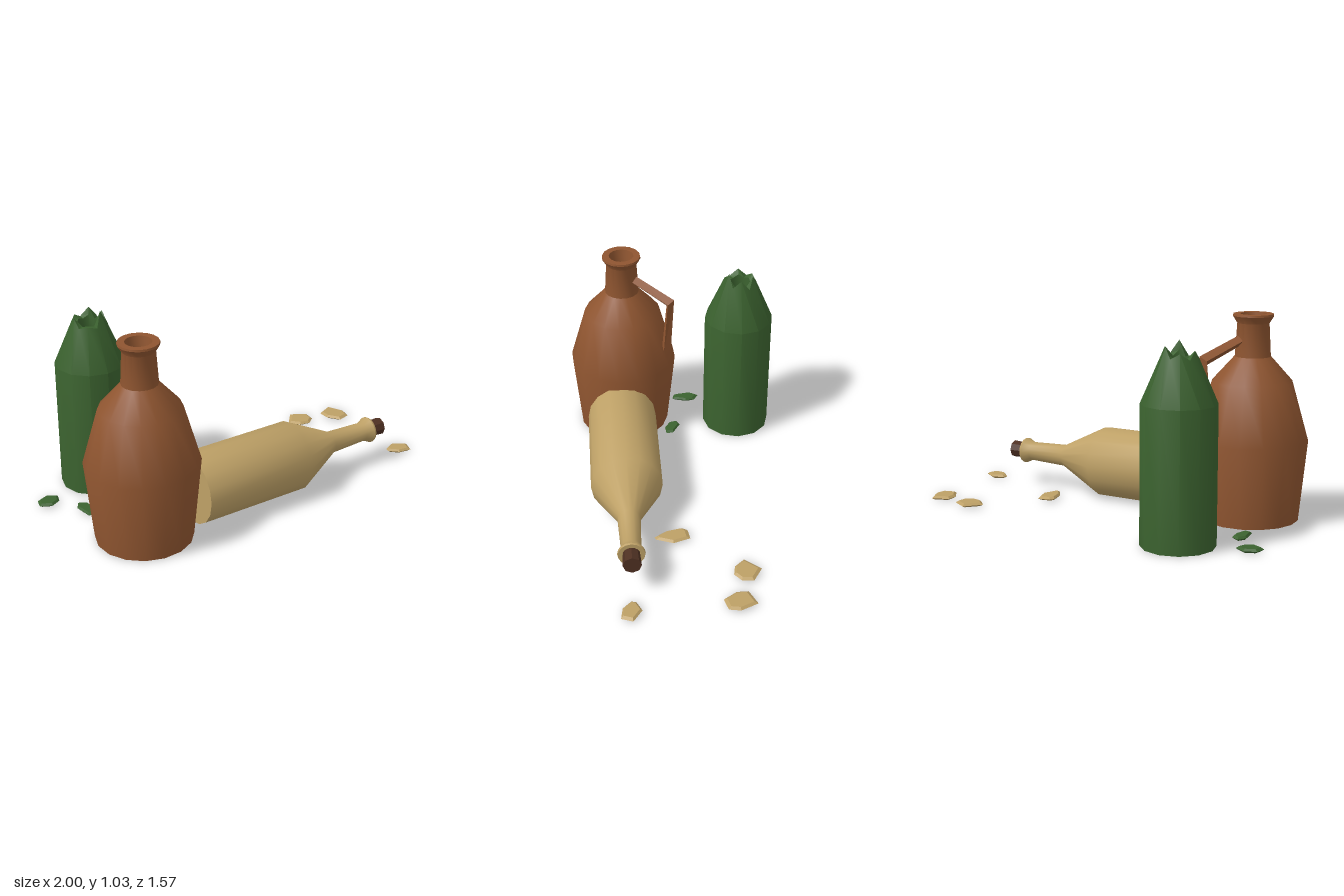
import * as THREE from 'three';
import { toCreasedNormals } from 'three/addons/utils/BufferGeometryUtils.js';
import { ConvexGeometry } from 'three/addons/geometries/ConvexGeometry.js';

const paint = (name, color) => {
  const m = new THREE.MeshStandardMaterial({ color });
  m.name = name;
  return m;
};

// Turned shape from [radius, height] pairs, ordered bottom to top on the outside
const turned = (profile, sides) =>
  new THREE.LatheGeometry(profile.map(([r, y]) => new THREE.Vector2(r, y)), sides);

// Diamond-section bar through three [z, y] points, mitred at the elbow
function barGeometry(path, offsets, halfWidth) {
  const rings = path.map(([z, y], i) => {
    const [dz, dy] = offsets[i];
    return [[0, y + dy, z + dz], [halfWidth, y, z], [0, y - dy, z - dz], [-halfWidth, y, z]];
  });
  const pos = [];
  const quad = (a, b, c, d) => pos.push(...a, ...b, ...c, ...a, ...c, ...d);
  for (let i = 0; i < rings.length - 1; i++) {
    for (let k = 0; k < 4; k++) {
      const n = (k + 1) % 4;
      quad(rings[i][k], rings[i][n], rings[i + 1][n], rings[i + 1][k]);
    }
  }
  quad(...[...rings[0]].reverse());
  quad(...rings[rings.length - 1]);
  const g = new THREE.BufferGeometry();
  g.setAttribute('position', new THREE.Float32BufferAttribute(pos, 3));
  g.computeVertexNormals();
  return g;
}

// Thin glass or clay chip: full outline in the middle, smaller above and below
function shardGeometry(outline) {
  const cx = outline.reduce((s, p) => s + p[0], 0) / outline.length;
  const cz = outline.reduce((s, p) => s + p[1], 0) / outline.length;
  const points = [];
  for (const [y, s] of [[0.005, 0.75], [0.015, 1], [0.025, 0.78]]) {
    for (const [x, z] of outline) {
      points.push(new THREE.Vector3(cx + (x - cx) * s, y, cz + (z - cz) * s));
    }
  }
  return new ConvexGeometry(points);
}

export function createModel() {
  const model = new THREE.Group();
  const clay = paint('brown clay', 0x8f5530);
  const tan = paint('tan', 0xbda066);
  const green = paint('green glass', 0x3b622f);
  const corkBrown = paint('dark cork', 0x4e3022);
  const group = (name, x, y, z) => {
    const g = new THREE.Group();
    g.name = name;
    g.position.set(x, y, z);
    model.add(g);
    return g;
  };
  const add = (parent, name, geometry, material) => {
    const mesh = new THREE.Mesh(geometry, material);
    mesh.name = name;
    parent.add(mesh);
    return mesh;
  };

  // Clay jug with a hollow mouth and an angular handle at the back
  const jug = group('jug', -0.46, 0, 0.5);
  add(jug, 'jugBody', toCreasedNormals(turned([
    [0, 0.005], [0.243, 0.005], [0.284, 0.415], [0.202, 0.7], [0.09, 0.825], [0.08, 0.99],
    [0.102, 1.025], [0.1, 1.035], [0.065, 1.035], [0.052, 0.95], [0, 0.95],
  ], 16), 0.62), clay);
  add(jug, 'jugHandle', barGeometry(
    [[-0.08, 0.907], [-0.288, 0.823], [-0.265, 0.53]],
    [[-0.009, 0.024], [-0.022, 0.022], [-0.026, -0.002]], 0.03), clay);

  // Standing green bottle, its neck snapped off into jagged points
  const broken = group('brokenBottle', -0.707, 0, -0.075);
  const profile = [
    [0, 0.005], [0.181, 0.005], [0.181, 0.68], [0.09, 0.89], [0.058, 0.89], [0.055, 0.83], [0, 0.83],
  ];
  const sides = 12;
  const jags = [0.01, 0, 0.075, 0.01, 0.05, 0, 0.055, 0.005, 0.03, 0, 0.04, 0];
  const glass = turned(profile, sides);
  const p = glass.attributes.position;
  for (let i = 0; i <= sides; i++) {
    const rise = jags[i % sides];
    const outer = i * profile.length + 3;
    p.setY(outer, p.getY(outer) + rise);
    p.setX(outer, p.getX(outer) * (1 - rise * 3));
    p.setZ(outer, p.getZ(outer) * (1 - rise * 3));
    p.setY(outer + 1, p.getY(outer + 1) + rise * 0.4);
  }
  add(broken, 'brokenBottleBody', toCreasedNormals(glass, 0.6), green);

  // Tan bottle lying on its side, stopped with a cork
  const lying = group('lyingBottle', -0.225, 0.186, 0.389);
  lying.rotation.set(0, Math.PI / 6, -Math.PI / 2);
  add(lying, 'lyingBottleBody', toCreasedNormals(turned([
    [0, 0], [0.183, 0], [0.183, 0.608], [0.058, 0.86], [0.05, 1.075], [0.069, 1.115],
    [0.066, 1.125], [0.045, 1.125], [0.04, 1.1], [0, 1.1],
  ], 16), 0.62), tan);
  const cork = add(lying, 'cork',
    new THREE.CylinderGeometry(0.046, 0.04, 0.11, 8).toNonIndexed(), corkBrown);
  cork.geometry.computeVertexNormals();
  cork.position.y = 1.145;

  // Scattered shards as [x, z] outlines
  const tanShards = [
    [[0.39, -0.705], [0.485, -0.705], [0.51, -0.65], [0.49, -0.6], [0.435, -0.58], [0.37, -0.6]],
    [[0.62, -0.785], [0.7, -0.73], [0.72, -0.675], [0.67, -0.625], [0.595, -0.66], [0.565, -0.71]],
    [[0.345, -0.295], [0.415, -0.235], [0.43, -0.145], [0.42, -0.13], [0.355, -0.16], [0.295, -0.225], [0.295, -0.255]],
    [[0.905, -0.31], [0.99, -0.305], [1, -0.245], [0.935, -0.22], [0.875, -0.235], [0.87, -0.26]],
  ];
  const greenShards = [
    [[-0.96, 0.12], [-0.9, 0.12], [-0.89, 0.17], [-0.92, 0.215], [-0.985, 0.22], [-1, 0.17]],
    [[-0.795, 0.2], [-0.75, 0.2], [-0.72, 0.24], [-0.7, 0.315], [-0.735, 0.325], [-0.795, 0.25]],
    [[-0.495, 0.17], [-0.41, 0.17], [-0.39, 0.2], [-0.43, 0.23], [-0.485, 0.23], [-0.515, 0.2]],
  ];
  const shards = group('shards', 0, 0, 0);
  tanShards.forEach((o, i) => add(shards, `tanShard${i + 1}`, shardGeometry(o), tan));
  greenShards.forEach((o, i) => add(shards, `greenShard${i + 1}`, shardGeometry(o), green));

  return model;
}
